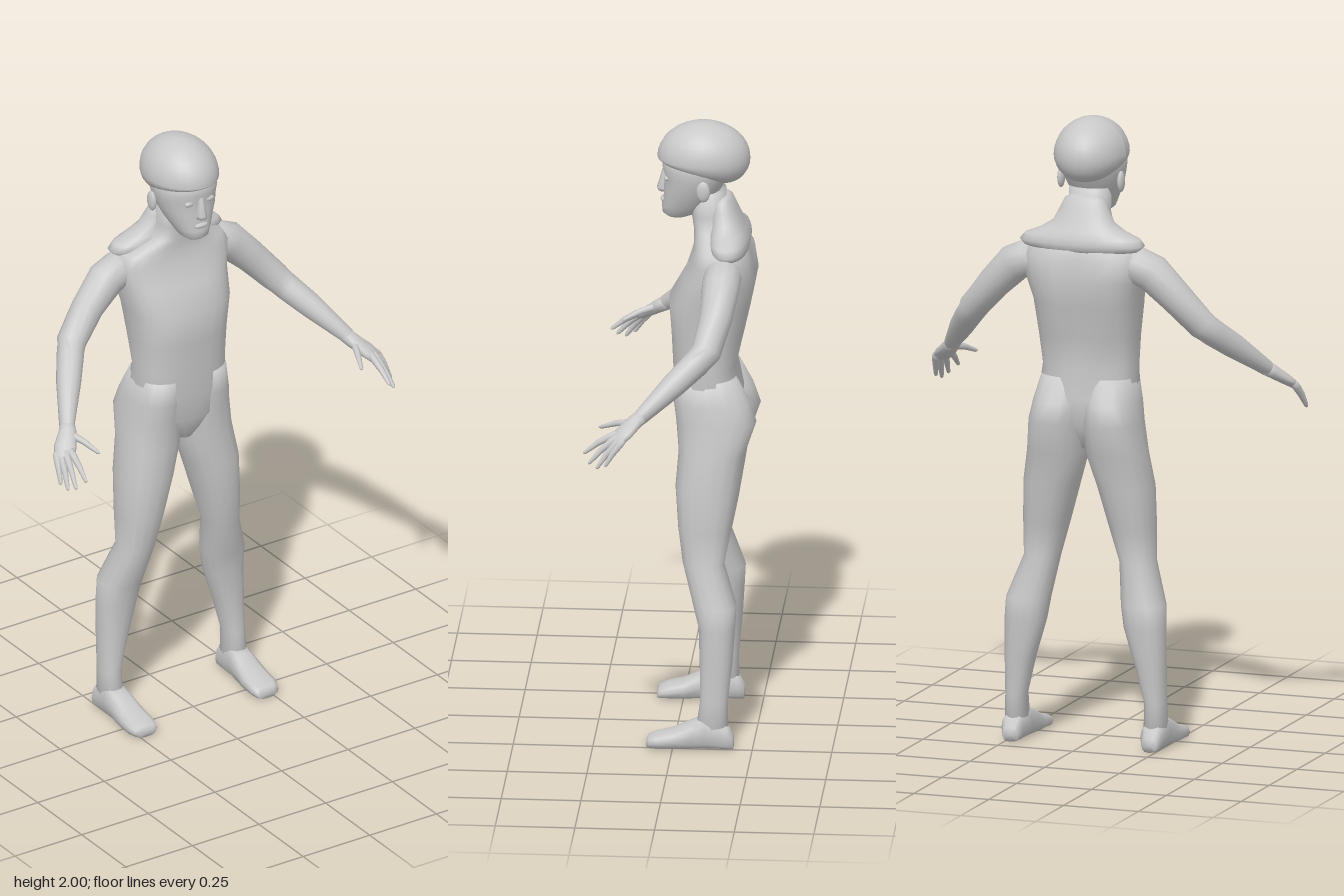
import * as THREE from 'three';

const V = (x, y, z) => new THREE.Vector3(x, y, z);

// Closed cross-section around c, spanned by u and v (u x v points along the loft)
function ring(c, u, v, n = 16, e = 1) {
  const pw = t => Math.sign(t) * Math.pow(Math.abs(t), e);
  return Array.from({ length: n }, (_, i) => {
    const a = i / n * Math.PI * 2;
    return c.clone().addScaledVector(u, pw(Math.cos(a))).addScaledVector(v, pw(Math.sin(a)));
  });
}

// Skin through rings with capped ends
function loft(rings) {
  const n = rings[0].length, m = rings.length, pts = rings.flat(), idx = [];
  for (let i = 0; i < m - 1; i++) for (let j = 0; j < n; j++) {
    const k = (j + 1) % n, a = i * n + j, b = i * n + k;
    idx.push(a, b, b + n, a, b + n, a + n);
  }
  const mid = r => r.reduce((s, p) => s.add(p), V(0, 0, 0)).divideScalar(n);
  pts.push(mid(rings[0]), mid(rings[m - 1]));
  for (let j = 0; j < n; j++) {
    const k = (j + 1) % n, t = (m - 1) * n;
    idx.push(m * n, k, j, m * n + 1, t + j, t + k);
  }
  const g = new THREE.BufferGeometry().setFromPoints(pts);
  g.setIndex(idx);
  g.computeVertexNormals();
  return g;
}

// Upright loft, rows bottom to top: [y, xMin, xMax, zBack, zFront]
const upright = (rows, n, e) => loft(rows.map(([y, x0, x1, z0, z1]) =>
  ring(V((x0 + x1) / 2, y, (z0 + z1) / 2), V(0, 0, (z1 - z0) / 2), V((x1 - x0) / 2, 0, 0), n, e)));
const centred = rows => rows.map(([y, w, z0, z1]) => [y, -w, w, z0, z1]);

// Limb along a path, rows: [x, y, z, radius, flatness]
function limb(rows, n = 12) {
  const p = rows.map(r => V(r[0], r[1], r[2]));
  return loft(rows.map((r, i) => {
    const d = p[Math.min(i + 1, p.length - 1)].clone().sub(p[Math.max(i - 1, 0)]).normalize();
    const u = V(0, 1, 0).cross(d).normalize(), v = d.clone().cross(u);
    return ring(p[i], u.multiplyScalar(r[3]), v.multiplyScalar(r[3] * (r[4] || 1)), n);
  }));
}

function mirrored(geo) {
  const g = geo.clone(), a = g.index.array;
  g.scale(-1, 1, 1);
  for (let i = 0; i < a.length; i += 3) [a[i], a[i + 1]] = [a[i + 1], a[i]];
  g.computeVertexNormals();
  return g;
}

export function createModel() {
  const model = new THREE.Group();
  model.name = 'figure';
  const grey = new THREE.MeshStandardMaterial({ color: 0xc8c8c8 });
  grey.name = 'grey';
  const add = (name, geo) => {
    const m = new THREE.Mesh(geo, grey);
    m.name = name;
    model.add(m);
  };
  const pair = (name, geo) => {
    add(name + 'Left', geo);
    add(name + 'Right', mirrored(geo));
  };
  const ball = (x, y, z, a, b, c) =>
    new THREE.SphereGeometry(1, 12, 8).scale(a, b, c).translate(x, y, z);

  // Torso and neck, with a shallow spine groove
  const torso = upright(centred([
    [0.95, 0.03, -0.15, -0.03], [1.03, 0.135, -0.2, 0.0], [1.12, 0.16, -0.205, 0.01],
    [1.21, 0.152, -0.185, 0.015], [1.31, 0.16, -0.21, 0.02], [1.42, 0.173, -0.235, 0.028],
    [1.5, 0.19, -0.25, -0.018], [1.57, 0.205, -0.238, -0.042], [1.61, 0.18, -0.215, -0.052],
    [1.65, 0.085, -0.18, -0.05], [1.7, 0.066, -0.155, -0.042], [1.78, 0.065, -0.15, -0.03]]), 24, 0.78);
  const tp = torso.attributes.position;
  for (let i = 0; i < tp.count; i++) {
    const y = tp.getY(i);
    if (Math.abs(tp.getX(i)) < 0.02 && tp.getZ(i) < -0.18 && y > 1.25 && y < 1.6) tp.setZ(i, tp.getZ(i) + 0.02);
  }
  torso.computeVertexNormals();
  add('torso', torso);

  // Legs
  pair('leg', upright([
    [0.05, 0.195, 0.268, -0.175, -0.07], [0.15, 0.198, 0.266, -0.172, -0.085],
    [0.27, 0.168, 0.266, -0.185, -0.083], [0.39, 0.132, 0.266, -0.193, -0.078],
    [0.46, 0.122, 0.262, -0.197, -0.06], [0.59, 0.103, 0.216, -0.156, -0.025],
    [0.7, 0.072, 0.215, -0.178, -0.01], [0.83, 0.036, 0.211, -0.2, 0.0],
    [0.94, 0.002, 0.193, -0.218, -0.008], [1.04, 0.002, 0.18, -0.252, 0.0],
    [1.1, 0.004, 0.17, -0.232, 0.008], [1.18, 0.015, 0.152, -0.19, 0.01]], 16, 0.88));

  // Feet, heel to toe: [z, centre x, half width, height]
  pair('foot', loft([
    [-0.19, 0.232, 0.024, 0.045], [-0.17, 0.232, 0.036, 0.08], [-0.1, 0.231, 0.04, 0.105],
    [-0.06, 0.23, 0.043, 0.088], [0.0, 0.23, 0.049, 0.058], [0.05, 0.23, 0.05, 0.045],
    [0.075, 0.228, 0.042, 0.035], [0.082, 0.226, 0.03, 0.025]].map(([z, x, w, h]) =>
    ring(V(x, h / 2, z), V(w, 0, 0), V(0, h / 2, 0), 12, 0.7))));

  // Arms
  pair('arm', limb([
    [0.14, 1.55, -0.15, 0.05], [0.185, 1.548, -0.152, 0.06], [0.23, 1.53, -0.15, 0.06],
    [0.305, 1.455, -0.14, 0.052], [0.382, 1.368, -0.115, 0.047], [0.41, 1.335, -0.08, 0.043],
    [0.455, 1.285, -0.02, 0.039], [0.528, 1.2, 0.08, 0.024]], 14));

  // Hands
  pair('palm', limb([
    [0.52, 1.205, 0.07, 0.023], [0.535, 1.19, 0.095, 0.028, 0.8],
    [0.567, 1.16, 0.13, 0.036, 0.5], [0.587, 1.138, 0.155, 0.032, 0.4]]));
  [[0.564, 1.15, 0.165, 0.57, 1.092, 0.255], [0.58, 1.143, 0.158, 0.597, 1.067, 0.238],
    [0.592, 1.138, 0.147, 0.61, 1.056, 0.212], [0.602, 1.138, 0.135, 0.62, 1.067, 0.185],
    [0.535, 1.185, 0.1, 0.492, 1.152, 0.212]].forEach(([x, y, z, X, Y, Z], i) => {
    const at = (t, lift, r) => [x + (X - x) * t, y + (Y - y) * t + lift, z + (Z - z) * t, r];
    pair(i < 4 ? 'finger' + (i + 1) : 'thumb',
      limb([at(-0.15, 0, 0.011), at(0.1, 0.003, 0.012), at(0.5, 0.006, 0.01), at(0.95, 0, 0.006), at(1, 0, 0.003)], 8));
  });

  // Head and face
  add('head', upright(centred([
    [1.688, 0.03, -0.03, 0.035], [1.7, 0.047, -0.06, 0.05], [1.725, 0.06, -0.09, 0.052],
    [1.755, 0.076, -0.115, 0.046], [1.79, 0.09, -0.14, 0.046], [1.825, 0.1, -0.16, 0.042],
    [1.85, 0.103, -0.17, 0.05], [1.89, 0.1, -0.17, 0.045]]), 20, 0.92));
  add('nose', loft([
    ring(V(0, 1.768, 0.045), V(0, 0, 0.018), V(0.017, 0, 0), 8),
    ring(V(0, 1.778, 0.046), V(0, 0, 0.022), V(0.016, 0, 0), 8),
    ring(V(0, 1.84, 0.04), V(0, 0, 0.01), V(0.008, 0, 0), 8)]));
  add('lips', ball(0, 1.742, 0.045, 0.025, 0.009, 0.011));
  pair('eye', ball(0.038, 1.822, 0.034, 0.017, 0.009, 0.008));
  pair('ear', ball(0.1, 1.8, -0.085, 0.011, 0.034, 0.022));

  // Rounded cap, its rim dropping towards the nape
  const cap = new THREE.SphereGeometry(1, 28, 18);
  const cp = cap.attributes.position;
  for (let i = 0; i < cp.count; i++) {
    const y = cp.getY(i), z = cp.getZ(i);
    if (y < 0) cp.setY(i, y * (0.2 + 0.8 * (1 - z) / 2));
  }
  cap.scale(0.115, 0.116, 0.146).translate(0, 1.884, -0.08);
  cap.computeVertexNormals();
  add('cap', cap);

  // Lowered hood lying over the shoulders
  add('hood', upright(centred([
    [1.59, 0.15, -0.215, -0.125], [1.598, 0.19, -0.225, -0.105], [1.615, 0.207, -0.228, -0.098],
    [1.635, 0.19, -0.224, -0.098], [1.655, 0.14, -0.215, -0.1], [1.68, 0.1, -0.203, -0.1],
    [1.72, 0.08, -0.186, -0.102], [1.75, 0.066, -0.172, -0.11], [1.762, 0.045, -0.16, -0.125]]), 24, 0.85));

  return model;
}
